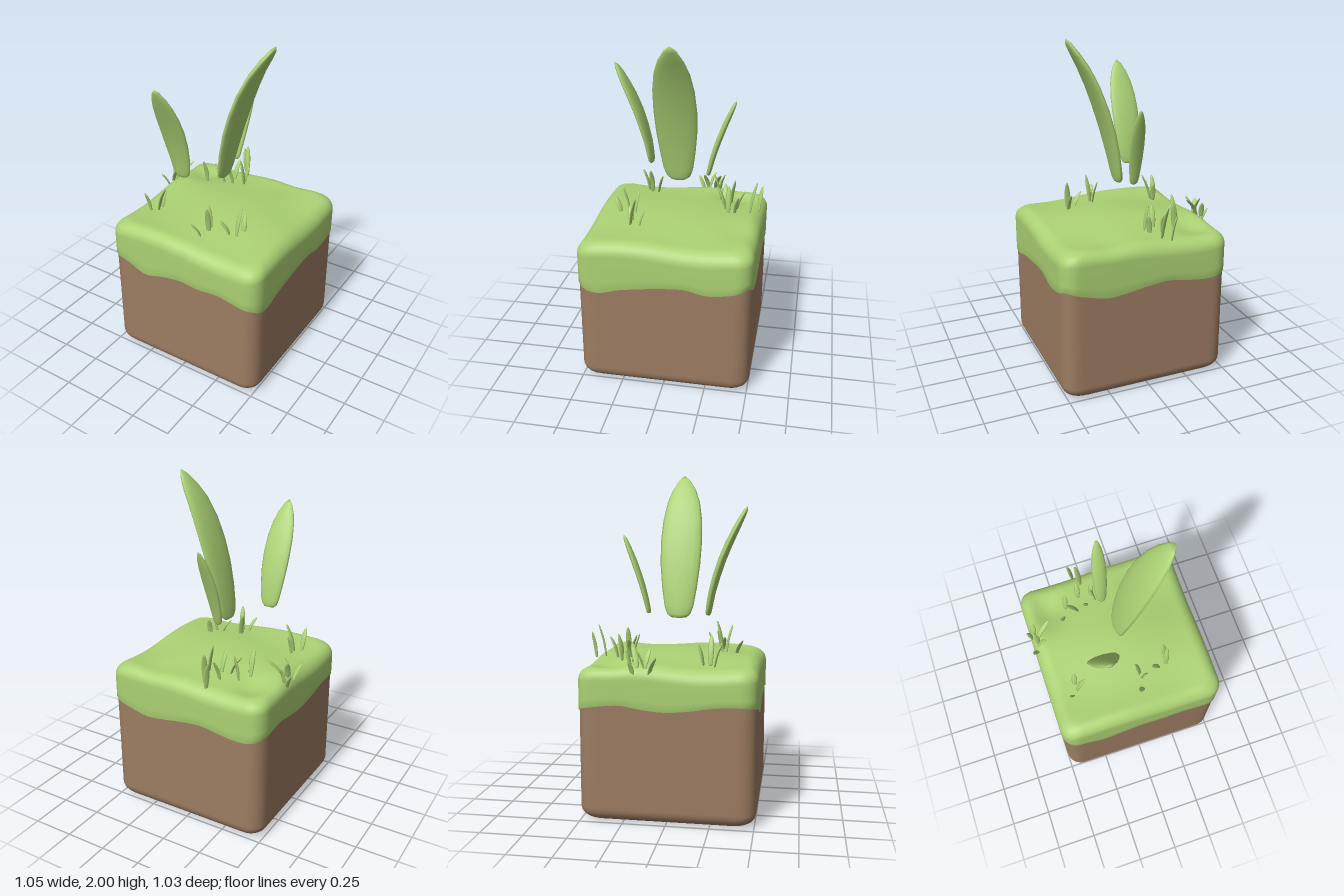
import * as THREE from 'three';
import { mergeVertices } from 'three/addons/utils/BufferGeometryUtils.js';

const SIDE = 40, N = SIDE * 4, CX = 0.01;
const green = new THREE.MeshStandardMaterial({ color: 0xabd173 });
const brown = new THREE.MeshStandardMaterial({ color: 0x9c7c62 });

// Smooth skin over closed rings of points, each counter-clockwise about the direction of travel
function skin(rings) {
  const n = rings[0].length, index = [];
  for (let k = 0; k < rings.length - 1; k++) {
    for (let i = 0; i < n; i++) {
      const a = k * n + i, b = k * n + (i + 1) % n;
      index.push(a, b, b + n, a, b + n, a + n);
    }
  }
  let g = new THREE.BufferGeometry().setFromPoints(rings.flat());
  g.setIndex(index);
  g = mergeVertices(g, 1e-5);
  g.computeVertexNormals();
  return g;
}

function add(parent, name, geometry, material) {
  const mesh = new THREE.Mesh(geometry, material);
  mesh.name = name;
  parent.add(mesh);
}

// Rounded square ring of half-width h; y may depend on the position along the ring
function squareRing(h, yAt) {
  const r = h * 0.18, inner = h - r, pts = [];
  for (let i = 0; i < N; i++) {
    const s = Math.floor(i / SIDE), t = (i % SIDE) / SIDE * 2 - 1;
    let [x, z] = [[t, 1], [1, -t], [-t, -1], [-1, t]][s];
    x *= h; z *= h;
    const ix = THREE.MathUtils.clamp(x, -inner, inner), iz = THREE.MathUtils.clamp(z, -inner, inner);
    const d = Math.hypot(x - ix, z - iz) || 1;
    x = ix + (x - ix) / d * r;
    z = iz + (z - iz) / d * r;
    pts.push(new THREE.Vector3(x + CX, yAt(i, x, z), z));
  }
  return pts;
}

// Height of the wavy turf edge: front, left (+x), back, right (-x)
const edgeHeights = [
  0.69, 0.67, 0.62, 0.65, 0.67, 0.66, 0.67, 0.65,
  0.63, 0.60, 0.63, 0.65, 0.665, 0.67, 0.645, 0.66,
  0.69, 0.66, 0.63, 0.64, 0.66, 0.67, 0.65, 0.64,
  0.66, 0.68, 0.69, 0.67, 0.66, 0.67, 0.69, 0.70];
const edgeCurve = new THREE.CatmullRomCurve3(
  edgeHeights.map((y, i) => new THREE.Vector3(i * 0.1, y, 0)), true, 'catmullrom');
const edge = Array.from({ length: N }, (_, i) => edgeCurve.getPoint(i / N).y);

// Gentle bumps of the turf, with a hollow near the back
const bumps = (x, z) =>
  0.012 * Math.sin(7 * x + 2.2 * z + 1.4) + 0.012 * Math.cos(8 * z - 3 * x)
  - 0.035 * Math.exp(-((x + 0.37) ** 2 + (z + 0.32) ** 2) / 0.012)
  - 0.02 * Math.exp(-((x - 0.22) ** 2 + (z + 0.43) ** 2) / 0.015);

function soilGeometry() {
  const R = 0.08, H = 0.51, rings = [];
  for (const h of [0, 0.2, 0.35]) rings.push(squareRing(h, () => 0));
  for (let k = 0; k <= 8; k++) {
    const a = k / 8 * Math.PI / 2;
    rings.push(squareRing(H - R + R * Math.sin(a), () => R - R * Math.cos(a)));
  }
  for (const t of [0.25, 0.5, 0.75, 1])
    rings.push(squareRing(H, i => THREE.MathUtils.lerp(R, edge[i] + 0.02, t)));
  return skin(rings);
}

function turfGeometry() {
  const R = 0.085, H = 0.515, TOP = 0.918, rings = [];
  rings.push(squareRing(0.506, i => edge[i] + 0.004));
  const level = (h, y) => rings.push(squareRing(h, (i, x, z) => y + bumps(x, z)));
  for (const t of [0, 0.3, 0.65])
    rings.push(squareRing(H, (i, x, z) => THREE.MathUtils.lerp(edge[i], TOP - R + bumps(x, z), t)));
  for (let k = 0; k <= 8; k++) {
    const a = k / 8 * Math.PI / 2;
    level(H - R + R * Math.cos(a), TOP - R + R * Math.sin(a));
  }
  for (let k = 13; k >= 0; k--) level((H - R) * k / 14, TOP);
  return skin(rings);
}

// Leaf along a path: [position along the path, share of full width]
const leafProfile = [[0, 0], [0.005, 0.35], [0.025, 0.55], [0.08, 0.7], [0.2, 0.84], [0.35, 0.96],
  [0.5, 1], [0.65, 0.95], [0.78, 0.8], [0.88, 0.58], [0.96, 0.28], [1, 0]];

function leafGeometry(points, across, width, thickness, sides) {
  const path = new THREE.CatmullRomCurve3(points.map(p => new THREE.Vector3(...p)));
  return skin(leafProfile.map(([t, w]) => {
    const p = path.getPointAt(t), T = path.getTangentAt(t);
    const W = across.clone().addScaledVector(T, -across.dot(T)).normalize();
    const D = T.clone().cross(W);
    return Array.from({ length: sides }, (_, i) => {
      const a = i / sides * Math.PI * 2;
      return p.clone()
        .addScaledVector(W, Math.cos(a) * w * width / 2)
        .addScaledVector(D, Math.sin(a) * Math.sqrt(w) * thickness / 2);
    });
  }));
}

// Grass tufts: centre x, centre z, lean x, lean z, tip height
const tufts = [
  [-0.15, -0.49, -0.025, -0.02, 1.06], [-0.11, -0.45, -0.02, -0.04, 1.10], [-0.14, -0.37, 0.01, -0.05, 1.03],
  [-0.235, -0.31, 0.015, -0.025, 1.06], [-0.205, -0.26, -0.075, 0, 1.03], [-0.28, -0.205, 0, 0.045, 1.07],
  [-0.12, -0.255, -0.01, 0.045, 1.04], [-0.055, -0.35, 0.02, -0.025, 1.02], [-0.06, -0.3, -0.03, 0, 1.08],
  [-0.42, -0.185, 0.1, -0.05, 1.03], [-0.505, -0.19, -0.035, -0.015, 0.95], [-0.475, -0.21, 0.01, -0.03, 1.0],
  [-0.475, -0.145, -0.02, -0.04, 1.01], [-0.45, -0.105, 0.055, 0.02, 1.01], [-0.5, -0.07, -0.035, 0.05, 0.97],
  [-0.33, 0.18, 0.01, -0.03, 1.02], [-0.305, 0.235, 0.06, 0, 1.07], [-0.375, 0.285, -0.005, 0.045, 1.04],
  [0.05, 0.25, -0.03, -0.025, 1.06], [0.075, 0.305, 0.015, 0.04, 1.09], [0.035, 0.37, -0.04, 0.045, 1.0],
  [0.165, 0.26, -0.06, 0.02, 1.0], [0.245, 0.175, -0.01, -0.035, 1.02], [0.24, 0.23, 0.015, -0.04, 1.09]];

export function createModel() {
  const model = new THREE.Group();
  model.name = 'grassBlock';
  add(model, 'soil', soilGeometry(), brown);
  add(model, 'turf', turfGeometry(), green);

  // Three large leaves floating above the block
  const X = new THREE.Vector3(1, 0, 0), Z = new THREE.Vector3(0, 0, 1);
  const leaves = new THREE.Group();
  leaves.name = 'leaves';
  add(leaves, 'tallLeaf', leafGeometry(
    [[-0.005, 1.13, 0], [0.025, 1.3, 0], [0.09, 1.55, 0], [0.19, 1.8, 0], [0.315, 2, -0.01]],
    Z, 0.255, 0.055, 14), green);
  add(leaves, 'frontLeaf', leafGeometry(
    [[-0.17, 1.17, 0.2], [-0.172, 1.3, 0.222], [-0.174, 1.5, 0.283], [-0.175, 1.67, 0.36], [-0.176, 1.795, 0.425]],
    X, 0.175, 0.045, 14), green);
  add(leaves, 'backLeaf', leafGeometry(
    [[-0.035, 1.16, -0.175], [-0.03, 1.3, -0.21], [-0.02, 1.46, -0.265], [-0.005, 1.635, -0.338]],
    X, 0.088, 0.035, 10), green);
  model.add(leaves);

  // Small blades of grass rooted in the turf
  const grass = new THREE.Group();
  grass.name = 'grass';
  for (const [x, z, lx, lz, tip] of tufts) {
    const x0 = x - lx / 2, z0 = z - lz / 2, y0 = x < -0.48 ? 0.85 : 0.9;
    add(grass, 'grassBlade', leafGeometry(
      [[x0, y0, z0], [x0 + lx * 0.35, (y0 + tip) / 2, z0 + lz * 0.35], [x0 + lx, tip, z0 + lz]],
      new THREE.Vector3(-lz, 0, lx).normalize(), 0.034, 0.012, 8), green);
  }
  model.add(grass);
  return model;
}
